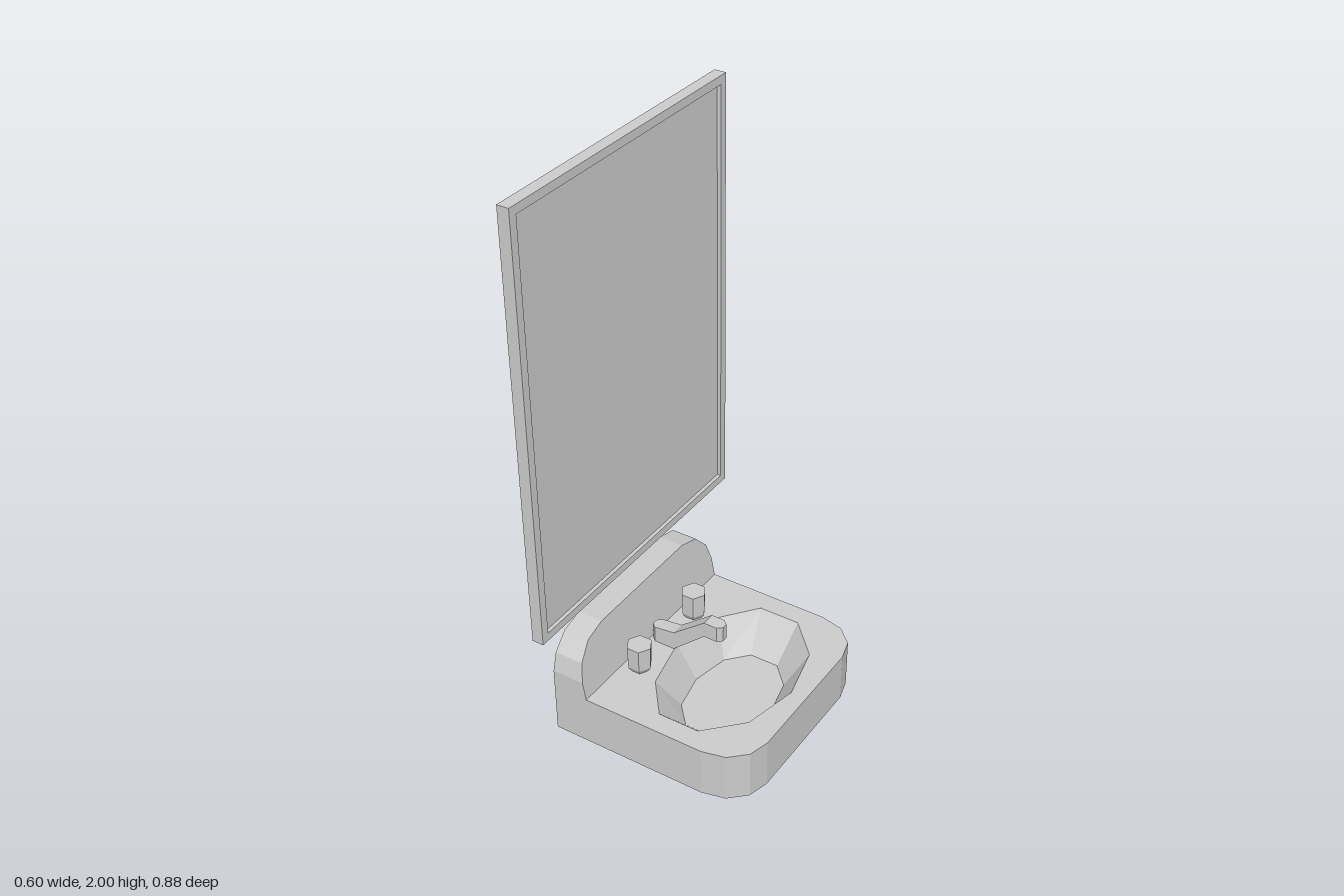
import * as THREE from 'three';
import { mergeGeometries } from 'three/addons/utils/BufferGeometryUtils.js';

const material = new THREE.MeshStandardMaterial({ color: 0xcccccc, flatShading: true, side: THREE.DoubleSide });
const V = (x, y, z) => new THREE.Vector3(x, y, z);

function add(parent, name, geometry, x = 0, y = 0, z = 0) {
  const mesh = new THREE.Mesh(geometry, material);
  mesh.name = name;
  mesh.position.set(x, y, z);
  parent.add(mesh);
  return mesh;
}

// Strip of quads between two rows of points
function ribbon(a, b, closed = false) {
  const pts = [];
  const n = a.length;
  for (let i = 0; i < (closed ? n : n - 1); i++) {
    const j = (i + 1) % n;
    pts.push(a[i], a[j], b[j], a[i], b[j], b[i]);
  }
  const geometry = new THREE.BufferGeometry().setFromPoints(pts);
  geometry.computeVertexNormals();
  return geometry;
}

const shapeOf = (pts) => new THREE.Shape(pts.map(([x, y]) => new THREE.Vector2(x, y)));
const flipY = (pts) => pts.map(([x, y]) => [x, -y]);

// Horizontal face from [x, z] points, facing up
function flat(pts, y, hole) {
  const shape = shapeOf(flipY(pts));
  if (hole) shape.holes.push(shapeOf(flipY(hole)));
  return new THREE.ShapeGeometry(shape).rotateX(-Math.PI / 2).translate(0, y, 0);
}

// Polyline whose corners become the rings of a tube
class Polyline extends THREE.Curve {
  constructor(points) { super(); this.points = points; }
  getPointAt(u, target = new THREE.Vector3()) {
    return target.copy(this.points[Math.round(u * (this.points.length - 1))]);
  }
  getTangentAt(u, target = new THREE.Vector3()) {
    const p = this.points, last = p.length - 1, i = Math.round(u * last);
    target.set(0, 0, 0);
    if (i > 0) target.add(p[i].clone().sub(p[i - 1]).normalize());
    if (i < last) target.add(p[i + 1].clone().sub(p[i]).normalize());
    return target.normalize();
  }
}

const MID = 0.04;                       // z of the basin's line of symmetry
const BOTTOM = 0.38, DECK = 0.53;       // sink heights
const BACK = -0.3;

function buildSink(root) {
  const sink = new THREE.Group();
  sink.name = 'sink';
  root.add(sink);

  // Half outlines as [x, distance from MID], mirrored into full outlines
  const mirrored = (half) => [
    ...half.map(([x, d]) => [x, MID + d]),
    ...half.slice().reverse().map(([x, d]) => [x, MID - d]),
  ];
  const corner = [[0.17, 0.32], [0.237, 0.304], [0.284, 0.26], [0.3, 0.2]];
  const outline = mirrored([[BACK, 0.32], ...corner]);
  const deck = mirrored([[-0.195, 0.32], ...corner]);
  const decagon = (half, xMin, xMax) => [
    ...half.map(([x, d]) => [x, MID - d]), [xMax, MID],
    ...half.slice().reverse().map(([x, d]) => [x, MID + d]), [xMin, MID],
  ];
  const rim = decagon([[-0.08, 0.16], [0, 0.26], [0.122, 0.26], [0.218, 0.16]], -0.115, 0.254);
  const floor = decagon([[-0.03, 0.11], [0.024, 0.17], [0.11, 0.17], [0.167, 0.11]], -0.052, 0.192);
  const FLOOR = 0.43;
  const at = (pts, y) => pts.map(([x, z]) => V(x, y, z));

  // Hollow body, open towards the wall
  add(sink, 'sinkWalls', ribbon(at(outline, BOTTOM), at(outline, DECK)));
  add(sink, 'sinkUnderside', new THREE.ShapeGeometry(shapeOf(outline)).rotateX(Math.PI / 2).translate(0, BOTTOM, 0));
  add(sink, 'sinkDeck', flat(deck, DECK, rim));
  add(sink, 'basinWalls', ribbon(at(floor, FLOOR), at(rim, DECK), true));
  add(sink, 'basinFloor', flat(floor, FLOOR));

  // Splashback: leaning front face and arched rim, from [z, y] points
  const frontX = (y) => -0.195 - (y - DECK) * 0.175;
  const halfArch = [[0.32, DECK], [0.32, 0.585], [0.305, 0.64], [0.262, 0.687], [0.195, 0.704]];
  const arch = [
    ...halfArch.map(([d, y]) => [MID + d, y]),
    ...halfArch.slice().reverse().map(([d, y]) => [MID - d, y]),
  ];
  const face = new THREE.ShapeGeometry(shapeOf(arch.map(([z, y]) => [-z, y]))).rotateY(Math.PI / 2);
  const pos = face.attributes.position;
  for (let i = 0; i < pos.count; i++) pos.setX(i, frontX(pos.getY(i)));
  face.computeVertexNormals();
  add(sink, 'splashbackFront', face);
  add(sink, 'splashbackRim', ribbon(
    arch.map(([z, y]) => V(frontX(y), y, z)),
    arch.map(([z, y]) => V(BACK, y, z)),
  ));
}

function buildTaps(root) {
  const taps = new THREE.Group();
  taps.name = 'taps';
  root.add(taps);

  // Hexagonal handles on short necks
  for (const side of [-1, 1]) {
    const handle = mergeGeometries([
      new THREE.CylinderGeometry(0.037, 0.035, 0.07, 6, 1, false, Math.PI / 6).translate(0, 0.05, 0),
      new THREE.CylinderGeometry(0.035, 0.026, 0.015, 6, 1, false, Math.PI / 6).translate(0, 0.0075, 0),
    ]);
    add(taps, side > 0 ? 'leftTapHandle' : 'rightTapHandle', handle, -0.147, DECK, MID + side * 0.135);
  }

  // Spout: a box bent through sections of [x, half width, low y, high y]
  const sections = [
    [-0.189, 0.008, 0.53, 0.58], [-0.175, 0.02, 0.53, 0.58], [-0.112, 0.02, 0.53, 0.588],
    [-0.012, 0.02, 0.62, 0.668], [0.028, 0.02, 0.62, 0.668], [0.042, 0.008, 0.62, 0.668],
  ];
  const spout = new THREE.BoxGeometry(1, 1, 1, sections.length - 1, 1, 1);
  const pos = spout.attributes.position;
  for (let i = 0; i < pos.count; i++) {
    const [x, w, low, high] = sections[Math.round((pos.getX(i) + 0.5) * (sections.length - 1))];
    pos.setXYZ(i, x, pos.getY(i) > 0 ? high : low, MID + Math.sign(pos.getZ(i)) * w);
  }
  spout.computeVertexNormals();
  add(taps, 'spout', spout);
}

function buildDrain(root) {
  const drain = new THREE.Group();
  drain.name = 'drain';
  root.add(drain);

  // U-shaped trap, then a bend back to the wall
  const X = 0.06, R = 0.071, C = -0.023, Y = 0.1;
  const path = [V(X, BOTTOM, C + R)];
  for (let i = 0; i <= 6; i++) {
    const a = (i / 6) * Math.PI;
    path.push(V(X, Y - Math.sin(a) * 0.074, C + Math.cos(a) * R));
  }
  path.push(V(X, 0.215, -0.095), V(0.05, 0.24, -0.098), V(0.03, 0.257, -0.102), V(0, 0.27, -0.105), V(BACK, 0.27, -0.105));
  add(drain, 'drainPipe', new THREE.TubeGeometry(new Polyline(path), path.length - 1, 0.025, 8));
  add(drain, 'pipeCollar', new THREE.CylinderGeometry(0.035, 0.035, 0.01, 8), X, 0.207, -0.095);
}

function buildMirror(root) {
  const mirror = new THREE.Group();
  mirror.name = 'mirror';
  mirror.position.set(-0.278, 1.377, 0);
  root.add(mirror);

  // Frame with a pane set back on both sides
  const W = 0.442, H = 0.624, B = 0.024;
  const rect = (w, h) => [[-w, -h], [w, -h], [w, h], [-w, h]];
  const shape = shapeOf(rect(W, H));
  shape.holes.push(shapeOf(rect(W - B, H - B)));
  const frame = new THREE.ExtrudeGeometry(shape, { depth: 0.034, bevelEnabled: false });
  add(mirror, 'mirrorFrame', frame.translate(0, 0, -0.017).rotateY(Math.PI / 2));
  add(mirror, 'mirrorPane', new THREE.BoxGeometry(0.012, 2 * (H - B), 2 * (W - B)));
}

export function createModel() {
  const root = new THREE.Group();
  root.name = 'washbasinWithMirror';
  buildSink(root);
  buildTaps(root);
  buildDrain(root);
  buildMirror(root);
  return root;
}
